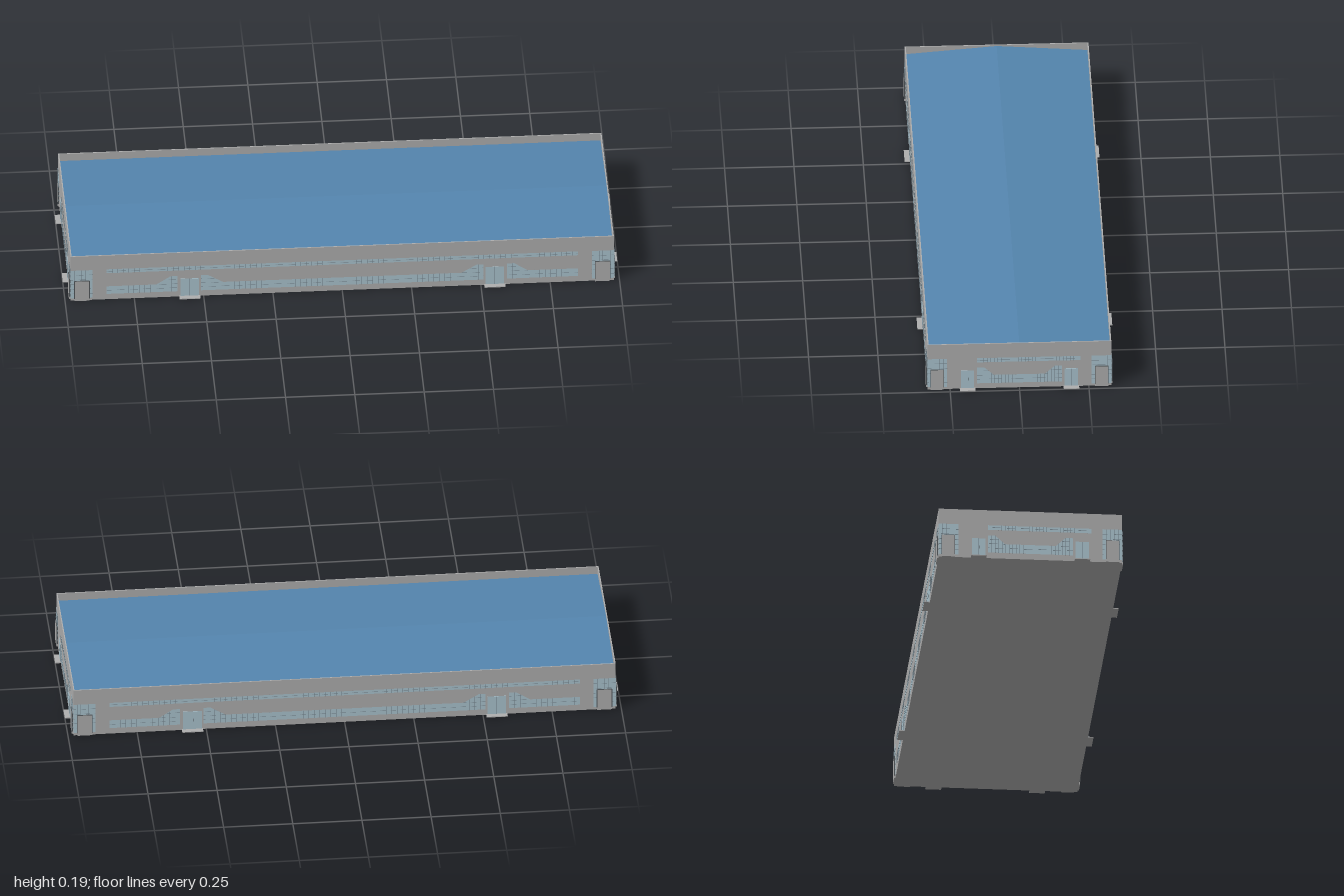
import * as THREE from 'three';

const W = 0.98, D = 0.331, H = 0.19; // half width, half depth, wall height

const mat = (name, color, side = THREE.FrontSide) => {
  const m = new THREE.MeshStandardMaterial({ color, side });
  m.name = name;
  return m;
};

export function createModel() {
  const wallGray = mat('wallGray', 0xadadad);
  const glassBlue = mat('glassBlue', 0xaac3ce, THREE.DoubleSide);
  const roofBlue = mat('roofBlue', 0x5485ae, THREE.DoubleSide);
  const frameGray = mat('frameGray', 0x76868f);
  const jambDark = mat('jambDark', 0x50565a);

  const model = new THREE.Group();
  model.name = 'longHall';

  const box = (parent, name, material, x0, x1, y0, y1, z0, z1) => {
    const m = new THREE.Mesh(new THREE.BoxGeometry(x1 - x0, y1 - y0, z1 - z0), material);
    m.position.set((x0 + x1) / 2, (y0 + y1) / 2, (z0 + z1) / 2);
    m.name = name;
    parent.add(m);
    return m;
  };

  // Floor and the four walls, whose tops form the parapet
  const t = 0.004;
  box(model, 'floor', wallGray, -W + t, W - t, 0, 0.004, -D + t, D - t);
  for (const s of [-1, 1]) {
    box(model, 'longWall', wallGray, -W, W, 0, H, s * D - (s > 0 ? t : 0), s * D + (s < 0 ? t : 0));
    box(model, 'endWall', wallGray, s * W - (s > 0 ? t : 0), s * W + (s < 0 ? t : 0), 0, H, -D + t, D - t);
  }

  // Low-pitched roof between the parapets, ridge along x
  const eave = 0.16, ridge = 0.186;
  const slope = Math.atan2(ridge - eave, D - t);
  for (const s of [-1, 1]) {
    const geo = new THREE.PlaneGeometry(2 * (W - t), Math.hypot(ridge - eave, D - t));
    geo.rotateX(-Math.PI / 2 + s * slope);
    const m = new THREE.Mesh(geo, roofBlue);
    m.position.set(0, (eave + ridge) / 2, s * (D - t) / 2);
    m.name = 'roofSlope';
    model.add(m);
  }

  // Facades are drawn in a plane facing +z, then turned into place
  const bar = (f, u0, u1, y0, y1) => box(f, 'mullion', frameGray, u0, u1, y0, y1, 0, 0.0022);

  // Window with a level sill and a top following the profile [[u, height], ...]
  function addWindow(f, name, sill, profile, rails, step) {
    const first = profile[0][0], last = profile[profile.length - 1][0];
    const shape = new THREE.Shape([[first, sill], [last, sill], ...[...profile].reverse()]
      .map(([u, y]) => new THREE.Vector2(u, y)));
    const pane = new THREE.Mesh(new THREE.ShapeGeometry(shape), glassBlue);
    pane.position.z = 0.0015;
    pane.name = name;
    f.add(pane);
    const n = Math.max(1, Math.round((last - first) / step));
    for (let i = 1; i < n; i++) {
      const u = first + (last - first) * i / n;
      const k = profile.findIndex(p => p[0] >= u);
      const [a, b] = [profile[k - 1], profile[k]];
      const top = a[1] + (b[1] - a[1]) * (u - a[0]) / (b[0] - a[0]);
      bar(f, u - 0.0005, u + 0.0005, sill, top);
    }
    for (const y of rails) {
      for (let k = 1; k < profile.length; k++) {
        let [u0, h0] = profile[k - 1], [u1, h1] = profile[k];
        if (Math.max(h0, h1) <= y) continue;
        const cut = u0 + (u1 - u0) * (y - h0) / (h1 - h0 || 1);
        if (h0 < y) u0 = cut;
        if (h1 < y) u1 = cut;
        bar(f, u0, u1, y - 0.0004, y + 0.0004);
      }
    }
  }

  // Glass double door with handles and a thin doorstep
  function addDoor(f, u0, u1) {
    const mid = (u0 + u1) / 2;
    box(f, 'doorGlass', glassBlue, u0, u1, 0.003, 0.077, 0, 0.0015);
    bar(f, mid - 0.0005, mid + 0.0005, 0.003, 0.077);
    box(f, 'doorHandle', jambDark, mid + 0.002, mid + 0.003, 0.036, 0.047, 0, 0.003);
    box(f, 'doorstep', wallGray, u0 - 0.004, u1 + 0.004, 0, 0.003, -0.002, 0.02);
  }

  // Glazed corner bay with a shallow projecting portal
  function addCorner(f, s, outer, inner, pOuter, pInner) {
    const [a, b] = s > 0 ? [inner, outer] : [-outer, -inner];
    const [p, q] = s > 0 ? [pInner, pOuter] : [-pOuter, -pInner];
    addWindow(f, 'cornerGlass', 0.01, [[a, 0.13], [b, 0.13]], [0.03, 0.05, 0.07, 0.09, 0.11], 0.013);
    box(f, 'portal', wallGray, p, q, 0, 0.085, 0, 0.005);
    for (const e of [p, q]) box(f, 'portalJamb', jambDark, e - 0.001, e + 0.001, 0.01, 0.085, 0, 0.0052);
    box(f, 'portalHead', jambDark, p, q, 0.0845, 0.0858, 0, 0.0052);
  }

  const low = 0.057, high = 0.09, rails = [0.04, 0.057, 0.075];

  function longFacade(f) {
    addWindow(f, 'upperStrip', 0.114, [[-0.85, 0.131], [0.85, 0.131]], [0.1225], 0.02);
    addWindow(f, 'middleWindow', 0.024,
      [[-0.51, high], [-0.485, high], [-0.43, low], [0.43, low], [0.485, high], [0.51, high]], rails, 0.02);
    addWindow(f, 'sideWindow', 0.024, [[-0.85, low], [-0.67, low], [-0.62, high], [-0.595, high]], rails, 0.02);
    addWindow(f, 'sideWindow', 0.024, [[0.595, high], [0.62, high], [0.67, low], [0.85, low]], rails, 0.02);
    for (const s of [-1, 1]) {
      addDoor(f, s * 0.55 - 0.034, s * 0.55 + 0.034);
      addCorner(f, s, W, 0.9, 0.966, 0.912);
    }
  }

  function endFacade(f) {
    addWindow(f, 'upperStrip', 0.112, [[-0.153, 0.13], [0.22, 0.13]], [0.121], 0.0125);
    addWindow(f, 'lowerWindow', 0.022,
      [[-0.153, high], [-0.127, high], [-0.092, low], [0.092, low], [0.127, high], [0.153, high]], rails, 0.0125);
    for (const s of [-1, 1]) {
      addDoor(f, s * 0.187 - 0.024, s * 0.187 + 0.024);
      addCorner(f, s, D, 0.26, 0.32, 0.273);
    }
  }

  // Front, right end, back and left end
  ['front', 'leftEnd', 'back', 'rightEnd'].forEach((name, i) => {
    const f = new THREE.Group();
    f.name = name + 'Facade';
    const a = i * Math.PI / 2, d = i % 2 ? W : D;
    f.rotation.y = a;
    f.position.set(Math.sin(a) * d, 0, Math.cos(a) * d);
    (i % 2 ? endFacade : longFacade)(f);
    model.add(f);
  });

  return model;
}
